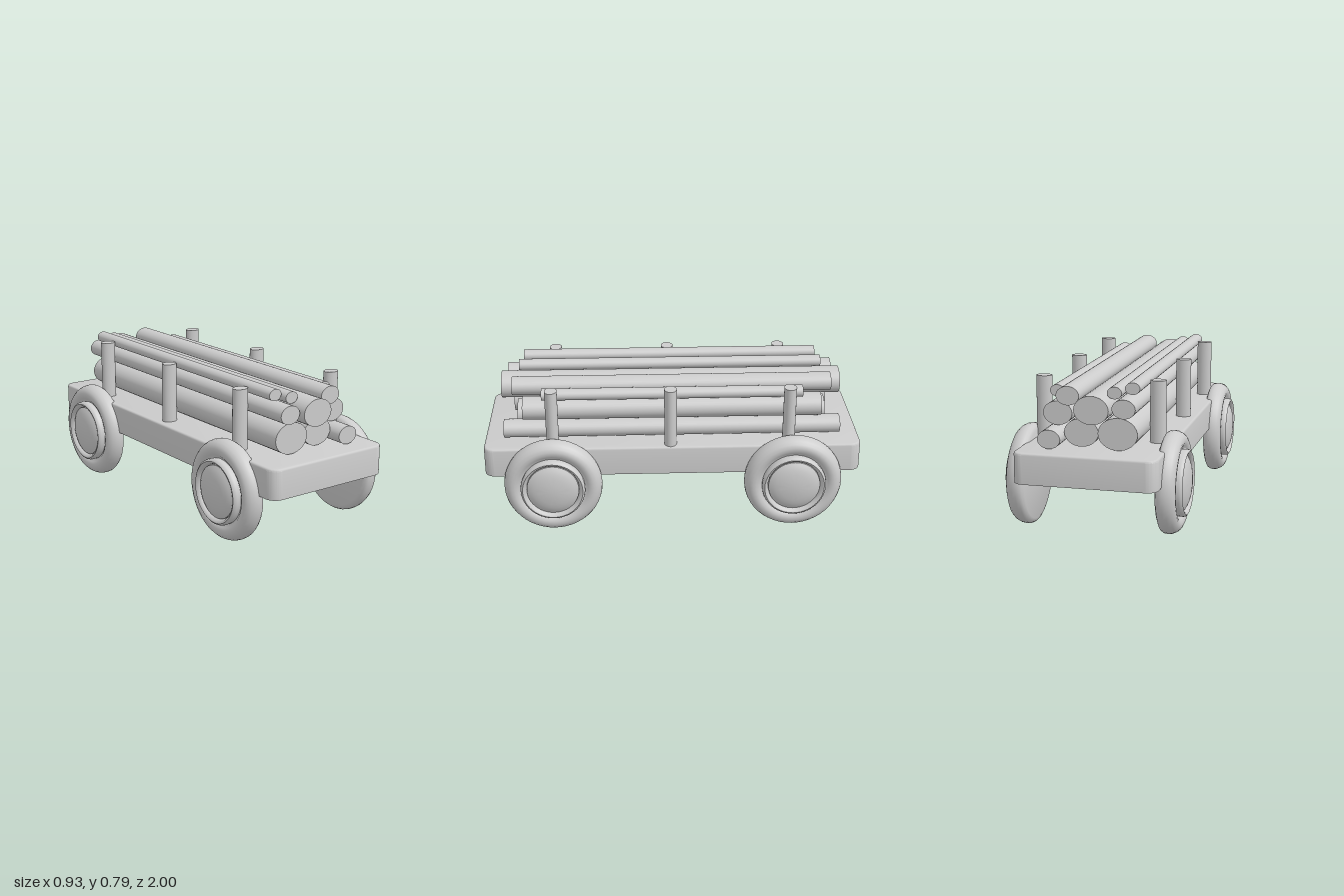
import * as THREE from 'three';
import { toCreasedNormals } from 'three/addons/utils/BufferGeometryUtils.js';

const grey = new THREE.MeshStandardMaterial({ color: 0xcccccc });
grey.name = 'plain grey';

function part(name, geometry, parent) {
  const mesh = new THREE.Mesh(geometry, grey);
  mesh.name = name;
  parent.add(mesh);
  return mesh;
}

// Flat bed with rounded corners, a soft top edge and a sharp flat underside
function deckGeometry() {
  const bevel = 0.012, hx = 0.36 - bevel, hz = 1 - bevel, r = 0.045;
  const bottom = 0.3, top = 0.455;
  const s = new THREE.Shape();
  s.absarc(hx - r, hz - r, r, 0, Math.PI / 2);
  s.absarc(-hx + r, hz - r, r, Math.PI / 2, Math.PI);
  s.absarc(-hx + r, -hz + r, r, Math.PI, Math.PI * 1.5);
  s.absarc(hx - r, -hz + r, r, Math.PI * 1.5, Math.PI * 2);
  const g = new THREE.ExtrudeGeometry(s, {
    depth: top - bottom - bevel, bevelThickness: bevel, bevelSize: bevel,
    bevelSegments: 3, curveSegments: 8,
  });
  g.rotateX(-Math.PI / 2).translate(-0.01, bottom, 0);
  const p = g.attributes.position;
  for (let i = 0; i < p.count; i++) p.setY(i, Math.max(p.getY(i), bottom));
  return toCreasedNormals(g, 0.7);
}

// Profile of [radius, x] pairs spun around the x axis
function spun(profile) {
  const g = new THREE.LatheGeometry(profile.map(([r, x]) => new THREE.Vector2(r, x)), 48);
  return toCreasedNormals(g.rotateZ(-Math.PI / 2), 0.8);
}

const tyre = spun([
  [0, 0.331], [0.232, 0.331], [0.25, 0.339], [0.258, 0.352], [0.26, 0.37], [0.257, 0.389],
  [0.248, 0.408], [0.235, 0.422], [0.217, 0.43], [0.2, 0.429], [0.185, 0.422],
  [0.172, 0.41], [0, 0.41],
]);
const rim = spun([
  [0.168, 0.405], [0.17, 0.434], [0.167, 0.446], [0.158, 0.453], [0.149, 0.449],
  [0.142, 0.438], [0.138, 0.425], [0, 0.425],
]);
const hubcap = spun([
  [0.137, 0.42], [0.137, 0.436], [0.12, 0.446], [0.1, 0.454], [0.075, 0.46],
  [0.04, 0.465], [0, 0.467],
]);

// Logs: x, y, radius, half length
const logs = [
  [-0.146, 0.541, 0.08, 0.86],
  [0.045, 0.533, 0.07, 0.83],
  [0.191, 0.506, 0.047, 0.897],
  [-0.184, 0.673, 0.047, 0.895],
  [-0.029, 0.665, 0.07, 0.917],
  [0.176, 0.617, 0.06, 0.793],
  [0.108, 0.717, 0.047, 0.85],
  [0.209, 0.708, 0.03, 0.69],
  [-0.207, 0.758, 0.03, 0.806],
  [-0.122, 0.737, 0.03, 0.828],
];

export function createModel() {
  const model = new THREE.Group();
  model.name = 'logWagon';
  part('deck', deckGeometry(), model);

  // Four wheels, flat inside and domed outside
  for (const side of [1, -1]) {
    for (const z of [0.637, -0.637]) {
      const wheel = new THREE.Group();
      wheel.name = (z > 0 ? 'front' : 'back') + (side > 0 ? 'Left' : 'Right') + 'Wheel';
      part('tyre', tyre, wheel);
      part('rim', rim, wheel);
      part('hubcap', hubcap, wheel);
      wheel.position.set(0, 0.26, z);
      if (side < 0) wheel.rotation.y = Math.PI;
      model.add(wheel);
    }
  }

  // Upright stakes, three on each side, slightly oval
  const stake = new THREE.CylinderGeometry(1, 1, 0.325, 32).scale(0.041, 1, 0.033);
  for (const x of [-0.291, 0.3]) {
    for (const z of [0.635, 0.013, -0.613]) {
      part('stake', stake, model).position.set(x, 0.6075, z);
    }
  }

  // Stack of oval logs lying along the bed
  const load = new THREE.Group();
  load.name = 'logs';
  for (const [x, y, r, half] of logs) {
    const g = new THREE.CylinderGeometry(r, r, half * 2, 32);
    g.rotateX(Math.PI / 2).scale(1.24, 1, 1);
    part('log', g, load).position.set(x, y, 0);
  }
  model.add(load);
  return model;
}
